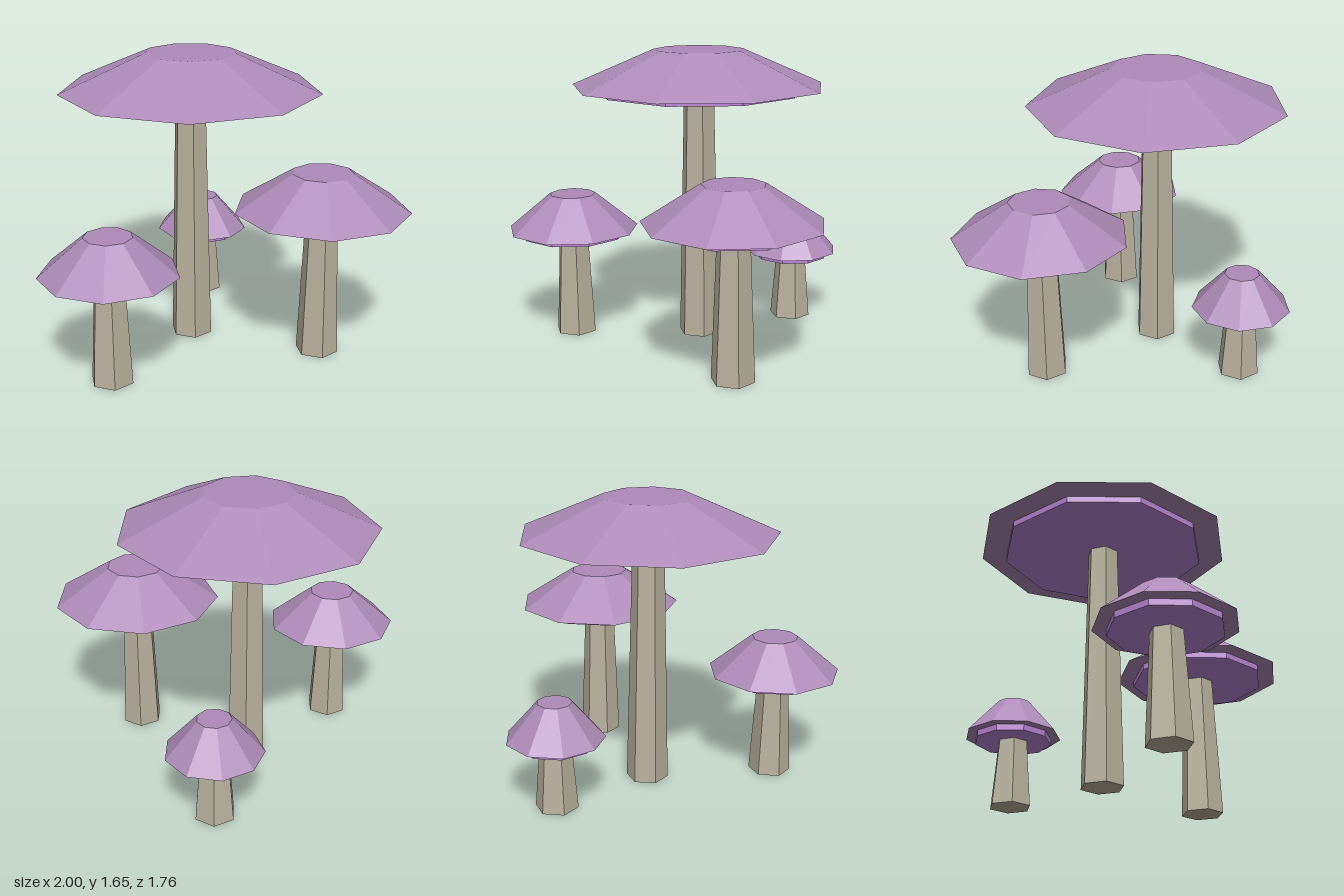
import * as THREE from 'three';

const flat = (name, color) => {
  const m = new THREE.MeshStandardMaterial({ color, flatShading: true });
  m.name = name;
  return m;
};

export function createModel() {
  const capMat = flat('mauve cap', 0xad8bb8);
  const gillMat = flat('violet gills', 0xb886d4);
  const stemMat = flat('beige stem', 0xbab29f);

  // Tapered prism standing on height y
  const prism = (name, mat, rTop, rBottom, height, y, sides, turn = 0) => {
    const mesh = new THREE.Mesh(new THREE.CylinderGeometry(rTop, rBottom, height, sides), mat);
    mesh.name = name;
    mesh.position.y = y + height / 2;
    mesh.rotation.y = turn;
    return mesh;
  };

  // Six-sided stem, thin gill disc and nine-sided cap with a corner on -x
  const mushroom = (name, x, z, stemHeight, radius) => {
    const g = new THREE.Group();
    g.name = name;
    g.position.set(x, 0, z);
    g.add(
      prism('stem', stemMat, 0.088, 0.12, stemHeight, 0, 6),
      prism('gills', gillMat, radius * 0.8, radius * 0.8, 0.034, stemHeight, 9, -Math.PI / 2),
      prism('cap', capMat, radius * 0.35, radius, 0.205, stemHeight + 0.034, 9, -Math.PI / 2)
    );
    return g;
  };

  const model = new THREE.Group();
  model.name = 'mushroomCluster';
  model.add(
    mushroom('tallMushroom', -0.108, -0.007, 1.415, 0.722),
    mushroom('frontLeftMushroom', 0.547, 0.366, 0.813, 0.482),
    mushroom('frontRightMushroom', -0.626, 0.507, 0.587, 0.374),
    mushroom('backMushroom', 0.062, -0.61, 0.381, 0.274)
  );
  return model;
}
